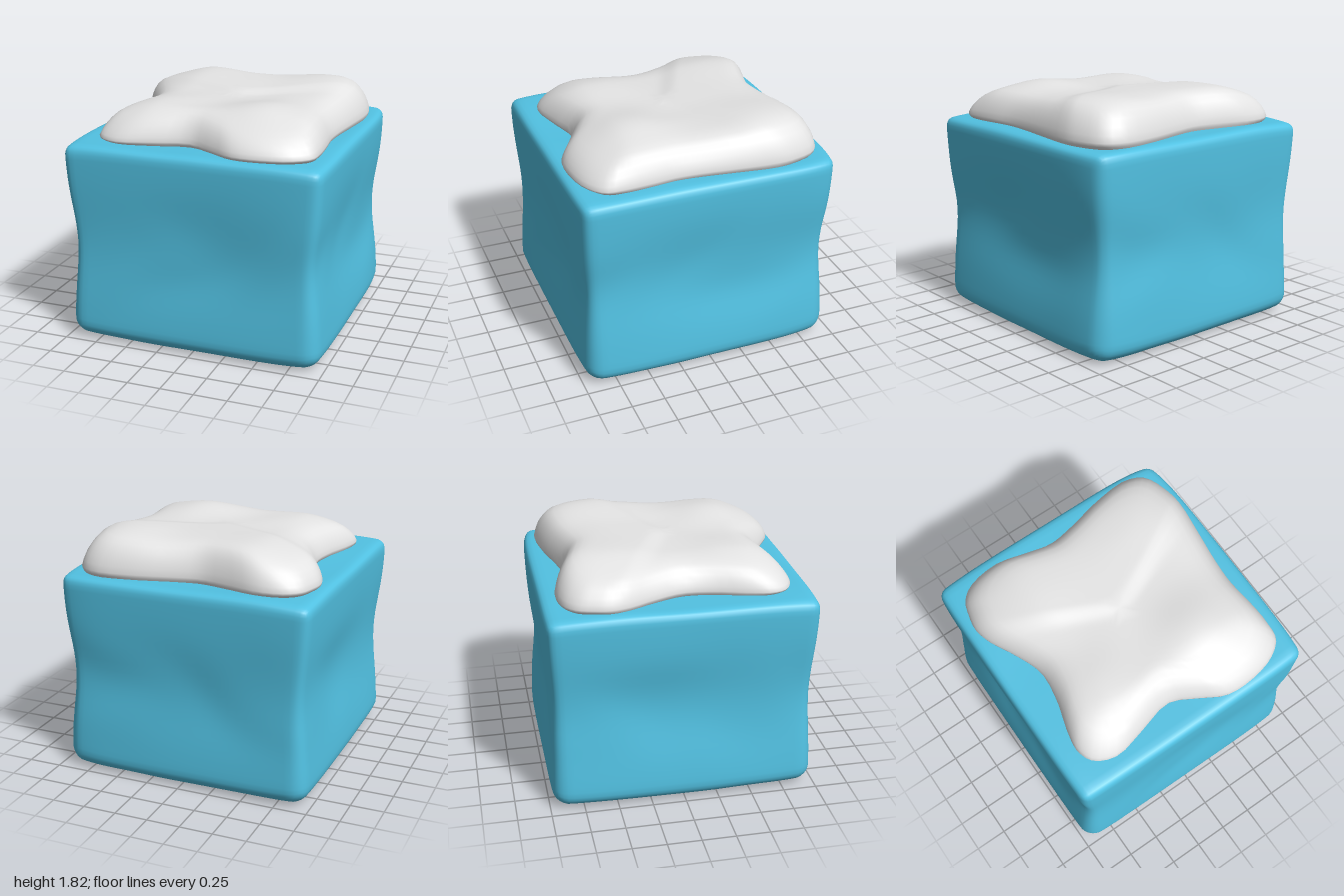
import * as THREE from 'three';
import { mergeVertices } from 'three/addons/utils/BufferGeometryUtils.js';

const ICE_TOP = 1.53;

const bump = (x, z, cx, cz, r) => Math.exp(-((x - cx) ** 2 + (z - cz) ** 2) / (r * r));
const smooth = THREE.MathUtils.smoothstep;

// soft, irregular dents, always between 0 and 1
function dents(x, y, z) {
  const a = Math.sin(4.1 * x + 2.3 * y - 1.7 * z + 0.6);
  const b = Math.sin(-2.2 * x + 6.3 * y + 3.9 * z + 1.9 + 0.8 * a);
  const c = Math.sin(5.7 * x - 3.1 * y + 5.2 * z + 4.0 + 0.9 * b);
  return 0.5 + (a + b + c) / 6;
}

// rounded cube with worn corners, pinched below mid-height and hammered with dents
function iceGeometry() {
  let geo = new THREE.BoxGeometry(2, 2, 2, 32, 28, 32);
  geo.deleteAttribute('normal');
  geo.deleteAttribute('uv');
  geo = mergeVertices(geo);
  const pos = geo.attributes.position;
  const half = new THREE.Vector3(0.995, ICE_TOP / 2, 0.995);
  const p = new THREE.Vector3();
  const core = new THREE.Vector3();
  // crowd the grid lines towards the edges
  const crowd = (t) => 0.5 * t + 0.5 * Math.sin(t * Math.PI / 2);
  for (let i = 0; i < pos.count; i++) {
    p.fromBufferAttribute(pos, i);
    p.set(crowd(p.x), crowd(p.y), crowd(p.z)).multiply(half);
    const r = 0.105 - 0.03 * p.y / half.y;
    const inner = half.clone().subScalar(r);
    core.copy(p).clamp(inner.clone().negate(), inner);
    const n = p.clone().sub(core).normalize();
    p.copy(core).addScaledVector(n, r);

    // wear the four upright corners, the back one at +x most
    const corner = Math.abs(p.x * p.z) ** 5;
    const wear = (p.x < 0 ? 0.015 : p.z < 0 ? 0.055 : 0.025) * corner;
    const lift = p.y / half.y;
    p.y += half.y - 0.035 * corner * lift ** 3;

    const waist = Math.exp(-(((p.y - 0.74) / 0.4) ** 2));
    const hollow = (1 - p.x * p.x * p.z * p.z) * waist;
    const d = dents(p.x, p.y, p.z);
    const depth = 0.008 + 0.03 * waist * d + 0.025 * hollow;
    p.x -= n.x * depth + p.x * 0.035 * waist + Math.sign(p.x) * wear;
    p.z -= n.z * depth + p.z * 0.01 * waist + Math.sign(p.z) * wear;
    p.y -= n.y * 0.015 * d;
    pos.setXYZ(i, p.x, p.y, p.z);
  }
  geo.computeVertexNormals();
  return geo;
}

// height of the snow surface away from its rim
function snowHeight(x, z) {
  // the back half stands a little higher, behind a V-shaped crease
  const back = smooth(-z - 0.45 * Math.abs(x), -0.1, 0.08);
  return 1.755 + 0.025 * back
    + 0.045 * bump(x, z, 0.58, -0.45, 0.35)
    + 0.025 * bump(x, z, -0.35, -0.45, 0.35)
    + 0.05 * bump(x, z, 0.4, 0.42, 0.27)
    + 0.02 * bump(x, z, -0.35, 0.42, 0.25)
    - 0.05 * smooth(-x, 0.4, 0.8)
    - 0.07 * smooth(z, 0.5, 0.9);
}

// four-lobed blanket: shrinking rings of one outline
function snowGeometry() {
  const outline = [
    [-0.85, -0.76], [-0.75, -0.84], [-0.55, -0.87], [-0.3, -0.81], [-0.1, -0.77], [0.1, -0.8],
    [0.4, -0.87], [0.68, -0.89], [0.82, -0.82], [0.89, -0.65], [0.91, -0.5], [0.88, -0.2],
    [0.85, 0.05], [0.84, 0.25], [0.86, 0.45], [0.87, 0.65], [0.85, 0.78], [0.72, 0.88],
    [0.5, 0.93], [0.3, 0.92], [0.13, 0.83], [-0.08, 0.73], [-0.35, 0.79], [-0.6, 0.84],
    [-0.76, 0.77], [-0.81, 0.65], [-0.79, 0.5], [-0.72, 0.25], [-0.7, 0.02], [-0.78, -0.2],
    [-0.88, -0.4], [-0.91, -0.53], [-0.89, -0.65],
  ].map(([x, z]) => new THREE.Vector3(x, 0, z));
  const count = 96;
  const loop = new THREE.CatmullRomCurve3(outline, true).getPoints(count).slice(0, count);

  // [scale of outline, share of full height]
  const rings = [[0.97, -0.1], [0.995, 0.02], [1, 0.12], [0.987, 0.3], [0.965, 0.5],
    [0.93, 0.7], [0.885, 0.86], [0.83, 0.95], [0.76, 0.99]];
  for (let s = 0.69; s > 0.03; s -= 0.06) rings.push([s, 1]);
  rings.push([0, 1]);

  const verts = [];
  const index = [];
  rings.forEach(([s, f], i) => {
    loop.forEach((q, j) => {
      const x = q.x * s;
      const z = q.z * s;
      const ripple = 0.014 * (dents(x * 1.4, 0.3, z * 1.4) - 0.5) * f;
      verts.push(x, ICE_TOP + f * (snowHeight(x, z) - ICE_TOP) + ripple, z);
      if (i === rings.length - 1) return;
      const k = (j + 1) % count;
      const a = i * count + j, b = i * count + k;
      const c = b + count, d = a + count;
      index.push(a, c, b, a, d, c);
    });
  });
  let geo = new THREE.BufferGeometry();
  geo.setAttribute('position', new THREE.Float32BufferAttribute(verts, 3));
  geo.setIndex(index);
  geo = mergeVertices(geo);
  geo.computeVertexNormals();
  return geo;
}

export function createModel() {
  const ice = new THREE.MeshStandardMaterial({ color: 0x52c2e3 });
  ice.name = 'ice blue';
  const snow = new THREE.MeshStandardMaterial({ color: 0xe4e4e4 });
  snow.name = 'snow white';

  const group = new THREE.Group();
  group.name = 'snowyIceBlock';
  const block = new THREE.Mesh(iceGeometry(), ice);
  block.name = 'iceBlock';
  const cap = new THREE.Mesh(snowGeometry(), snow);
  cap.name = 'snowCap';
  group.add(block, cap);
  return group;
}
